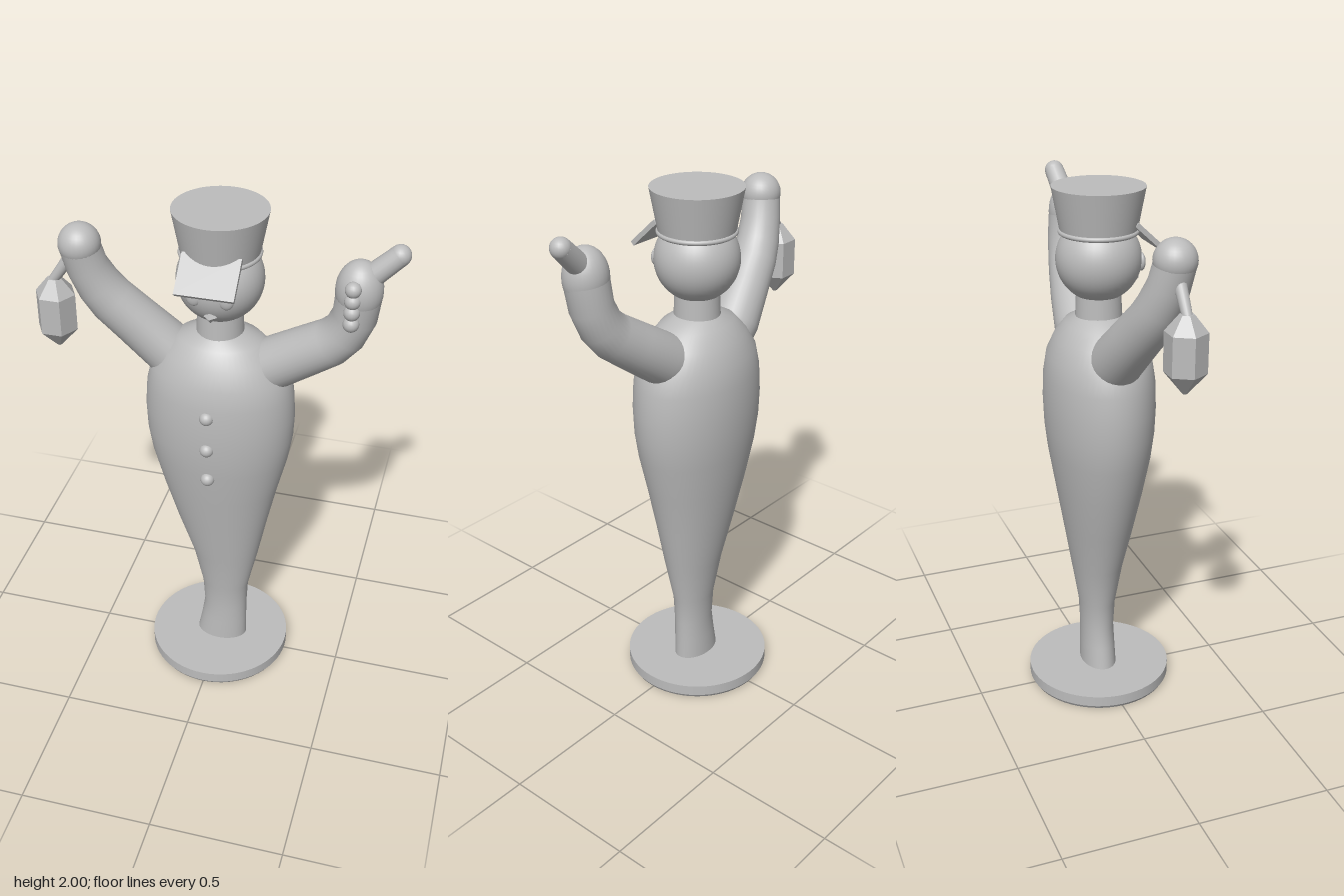
import * as THREE from 'three';

const clay = new THREE.MeshStandardMaterial({ color: 0xbcbcbc });
clay.name = 'clay grey';
const facetedClay = clay.clone();
facetedClay.name = 'faceted clay grey';
facetedClay.flatShading = true;

const V = (x, y, z) => new THREE.Vector3(x, y, z);

function add(parent, name, geometry, position = [0, 0, 0], material = clay) {
  const mesh = new THREE.Mesh(geometry, material);
  mesh.name = name;
  mesh.position.set(...position);
  parent.add(mesh);
  return mesh;
}

// Smooth skin over elliptical rings, each { c: centre, u, v: half axes }
function loft(rings, sides = 40) {
  const pos = [], index = [];
  rings.forEach(({ c, u, v }, i) => {
    for (let j = 0; j < sides; j++) {
      const a = (j / sides) * Math.PI * 2;
      const p = c.clone().addScaledVector(u, Math.cos(a)).addScaledVector(v, Math.sin(a));
      pos.push(p.x, p.y, p.z);
      if (i === rings.length - 1) continue;
      const k = (j + 1) % sides, r = i * sides, n = r + sides;
      index.push(r + j, n + j, r + k, r + k, n + j, n + k);
    }
  });
  const g = new THREE.BufferGeometry();
  g.setAttribute('position', new THREE.Float32BufferAttribute(pos, 3));
  g.setIndex(index);
  g.computeVertexNormals();
  return g;
}

// Tapered limb along a path of [x, y, z, radius]
function limb(path) {
  const pts = path.map(([x, y, z]) => V(x, y, z));
  return loft(path.map(([, , , r], i) => {
    const t = pts[Math.min(i + 1, pts.length - 1)].clone().sub(pts[Math.max(i - 1, 0)]).normalize();
    const u = t.clone().cross(V(0, 0, 1)).normalize();
    const v = u.clone().cross(t);
    return { c: pts[i], u: u.multiplyScalar(r), v: v.multiplyScalar(r) };
  }), 28);
}

// Rounded rod between two points
function rod(parent, name, a, b, r0, r1) {
  const d = b.clone().sub(a);
  const mesh = add(parent, name, new THREE.CylinderGeometry(r1, r0, d.length(), 20));
  mesh.position.copy(a).addScaledVector(d, 0.5);
  mesh.quaternion.setFromUnitVectors(V(0, 1, 0), d.normalize());
  return mesh;
}

export function createModel() {
  const model = new THREE.Group();
  model.name = 'bottle figure';

  // Base disc
  add(model, 'base', new THREE.CylinderGeometry(0.28, 0.28, 0.042, 64), [0, 0.034, 0]);
  add(model, 'baseFoot', new THREE.CylinderGeometry(0.28, 0.272, 0.013, 64), [0, 0.0065, 0]);

  // Coat body: y, centre x, half width, half depth
  const sections = [
    [0.05, 0.01, 0.102, 0.068], [0.14, 0.018, 0.093, 0.066], [0.22, 0.024, 0.087, 0.064],
    [0.33, 0.023, 0.093, 0.07], [0.5, 0.023, 0.13, 0.098], [0.68, 0.01, 0.178, 0.13],
    [0.85, 0.002, 0.222, 0.16], [1.0, 0, 0.26, 0.185], [1.1, 0, 0.276, 0.196],
    [1.2, 0, 0.28, 0.2], [1.3, 0, 0.273, 0.197], [1.38, 0, 0.255, 0.185],
    [1.45, 0, 0.21, 0.157], [1.505, 0, 0.155, 0.12], [1.535, 0, 0.083, 0.08],
  ];
  add(model, 'body', loft(sections.map(([y, x, w, d]) => ({ c: V(x, y, 0), u: V(w, 0, 0), v: V(0, 0, d) })), 56));
  [1.27, 1.13, 0.99].forEach((y, i) =>
    add(model, 'button' + (i + 1), new THREE.SphereGeometry(0.026, 20, 14), [0, y, i === 2 ? 0.183 : 0.192]));

  // Neck and head
  add(model, 'neck', new THREE.CylinderGeometry(0.08, 0.086, 0.15, 32), [0, 1.59, 0]);
  const head = new THREE.Group();
  head.name = 'head';
  model.add(head);
  add(head, 'skull', new THREE.SphereGeometry(0.155, 40, 28), [0, 1.74, 0]);
  for (const s of [-1, 1]) {
    add(head, s > 0 ? 'leftEye' : 'rightEye', new THREE.SphereGeometry(1, 20, 14), [s * 0.057, 1.73, 0.14])
      .scale.set(0.027, 0.034, 0.014);
  }
  add(head, 'nose', new THREE.OctahedronGeometry(0.024), [0, 1.655, 0.132], facetedClay);

  // Cap
  const cap = new THREE.Group();
  cap.name = 'cap';
  model.add(cap);
  add(cap, 'capCrown', new THREE.CylinderGeometry(0.168, 0.138, 0.16, 48), [0, 1.92, 0]);
  add(cap, 'capBand', new THREE.TorusGeometry(0.137, 0.009, 10, 48), [0, 1.84, 0]).rotation.x = Math.PI / 2;
  add(cap, 'visor', new THREE.BoxGeometry(0.208, 0.018, 0.15), [0, 1.823, 0.16]).rotation.x = 0.75;

  // Raised right arm
  const rightArm = new THREE.Group();
  rightArm.name = 'rightArm';
  model.add(rightArm);
  add(rightArm, 'rightSleeve', limb([
    [-0.15, 1.375, 0, 0.096], [-0.21, 1.435, 0, 0.097], [-0.31, 1.54, 0.025, 0.09],
    [-0.385, 1.62, 0.045, 0.086], [-0.425, 1.68, 0.058, 0.081], [-0.46, 1.76, 0.074, 0.074], [-0.476, 1.84, 0.088, 0.072],
  ]));
  add(rightArm, 'rightHand', new THREE.SphereGeometry(0.075, 28, 20), [-0.476, 1.849, 0.088]);

  // Hanging lantern
  const lantern = new THREE.Group();
  lantern.name = 'lantern';
  model.add(lantern);
  rod(lantern, 'lanternHandle', V(-0.5, 1.81, 0.087), V(-0.585, 1.69, 0.087), 0.024, 0.018);
  const hex = (name, top, bottom, y0, y1) => add(lantern, name,
    new THREE.CylinderGeometry(top, bottom, y1 - y0, 6, 1, false, Math.PI / 2), [-0.581, (y0 + y1) / 2, 0.087], facetedClay);
  hex('lanternRoof', 0.025, 0.074, 1.64, 1.7);
  hex('lanternGlass', 0.074, 0.074, 1.5, 1.64);
  hex('lanternPoint', 0.074, 0.008, 1.425, 1.5);

  // Raised left arm with pointing hand
  const leftArm = new THREE.Group();
  leftArm.name = 'leftArm';
  model.add(leftArm);
  add(leftArm, 'leftSleeve', limb([
    [0.14, 1.385, 0, 0.096], [0.21, 1.43, 0, 0.096], [0.32, 1.505, 0.018, 0.09],
    [0.405, 1.565, 0.035, 0.085], [0.45, 1.615, 0.042, 0.08], [0.482, 1.69, 0.05, 0.078], [0.492, 1.78, 0.058, 0.079],
  ]));
  add(leftArm, 'leftHand', new THREE.SphereGeometry(1, 28, 20), [0.492, 1.795, 0.06]).scale.set(0.081, 0.108, 0.08);
  const tip = V(0.614, 1.93, 0.042);
  rod(leftArm, 'pointingFinger', V(0.5, 1.82, 0.055), tip, 0.042, 0.037);
  add(leftArm, 'fingertip', new THREE.SphereGeometry(0.037, 20, 14), tip.toArray());
  for (let i = 0; i < 4; i++) {
    add(leftArm, 'curledFinger' + (i + 1), new THREE.SphereGeometry(0.028, 18, 12), [0.482, 1.832 - i * 0.043, 0.132]);
  }
  return model;
}
